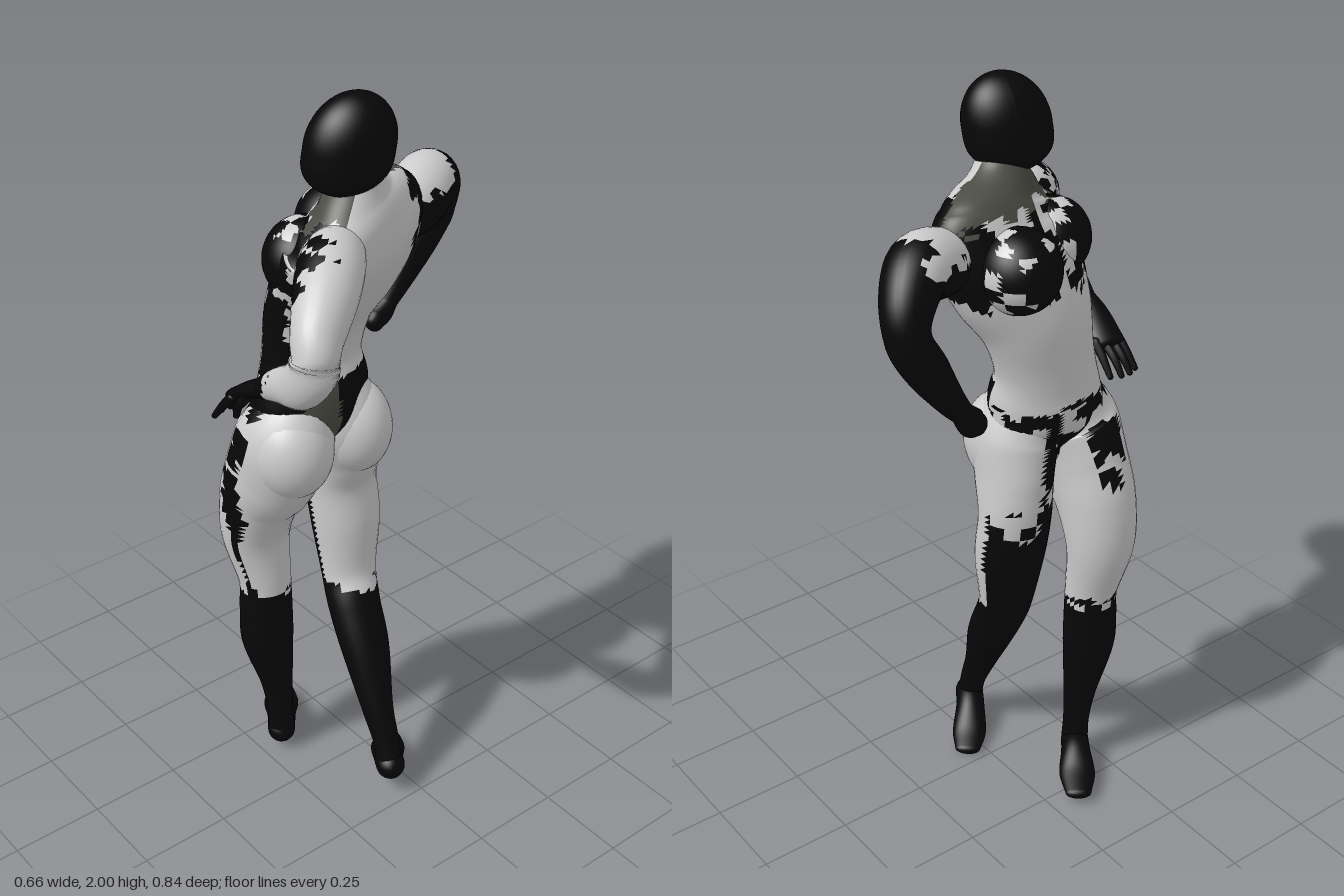
import * as THREE from 'three';

const V = (x, y, z) => new THREE.Vector3(x, y, z);
const COLORS = [0xcccccc, 0x070707, 0x4c4c45];
const GREY = 0, DARK = 1, OLIVE = 2;
const MATERIALS = COLORS.map((color) => new THREE.MeshStandardMaterial({ color }));

// Blocky deterministic noise for the ragged edges of the dark patches
function noise(p, size = 26) {
  const s = Math.sin(Math.floor(p.x * size) * 12.99 + Math.floor(p.y * size) * 78.23 + Math.floor(p.z * size) * 37.72) * 43758.55;
  return s - Math.floor(s);
}
const rag = (p) => (noise(p) - 0.5) * 0.05;

// Sorts the faces by a colour rule into one mesh per colour
function paint(name, geo, rule) {
  geo.computeVertexNormals();
  const group = new THREE.Group();
  group.name = name;
  const pos = geo.attributes.position, nor = geo.attributes.normal, idx = geo.index;
  const lists = COLORS.map(() => []);
  for (let i = 0; i < idx.count; i += 3) {
    const p = V(0, 0, 0), n = V(0, 0, 0), tri = [0, 1, 2].map((k) => idx.getX(i + k));
    for (const v of tri) {
      p.add(V(pos.getX(v), pos.getY(v), pos.getZ(v)));
      n.add(V(nor.getX(v), nor.getY(v), nor.getZ(v)));
    }
    lists[rule(p.divideScalar(3), n.normalize())].push(...tri);
  }
  lists.forEach((list, c) => {
    if (!list.length) return;
    const g = new THREE.BufferGeometry();
    g.setAttribute('position', pos);
    g.setAttribute('normal', nor);
    g.setIndex(list);
    const mesh = new THREE.Mesh(g, MATERIALS[c]);
    mesh.name = name + ['Light', 'Dark', 'Olive'][c];
    group.add(mesh);
  });
  return group;
}

// Smooth closed body through elliptical sections [x, y, z, halfWidth, halfDepth]
function loft(sections, side0, side1 = side0, seg = 28, per = 8) {
  const path = new THREE.CatmullRomCurve3(sections.map((s) => V(s[0], s[1], s[2])), false, 'catmullrom');
  const size = new THREE.CatmullRomCurve3(sections.map((s) => V(s[3], s[4], 0)), false, 'catmullrom');
  const rings = [], N = (sections.length - 1) * per, CAP = 6;
  for (let i = CAP; i > 0; i--) rings.push([0, -i / CAP]);
  for (let i = 0; i <= N; i++) rings.push([i / N, 0]);
  for (let i = 1; i <= CAP; i++) rings.push([1, i / CAP]);
  const pts = [], index = [];
  rings.forEach(([t, cap], i) => {
    const tan = path.getTangent(t), r = size.getPoint(t);
    const u = side0.clone().lerp(side1, t);
    u.addScaledVector(tan, -u.dot(tan)).normalize();
    const v = tan.clone().cross(u);
    const round = Math.max(Math.cos(cap * Math.PI / 2), 0.002);
    const c = path.getPoint(t).addScaledVector(tan, Math.sin(cap * Math.PI / 2) * Math.min(r.x, r.y));
    for (let j = 0; j < seg; j++) {
      const a = (j / seg) * Math.PI * 2;
      const p = c.clone().addScaledVector(u, r.x * round * Math.cos(a)).addScaledVector(v, r.y * round * Math.sin(a));
      pts.push(p.x, p.y, p.z);
      if (i < rings.length - 1) {
        const k = (j + 1) % seg, a0 = i * seg, b0 = a0 + seg;
        index.push(a0 + j, a0 + k, b0 + k, a0 + j, b0 + k, b0 + j);
      }
    }
  });
  const geo = new THREE.BufferGeometry();
  geo.setAttribute('position', new THREE.Float32BufferAttribute(pts, 3));
  geo.setIndex(index);
  return geo;
}

function ellipsoid(center, radii, yaw = 0) {
  return new THREE.SphereGeometry(1, 36, 28).scale(...radii).rotateY(yaw).translate(...center);
}

export function createModel() {
  const model = new THREE.Group();
  const add = (name, geo, rule = () => GREY) => model.add(paint(name, geo, rule));
  const dark = () => DARK;

  // Torso, twisted from the hips to the broad shoulders
  add('torso', loft([
    [-0.08, 1.06, 0.11, 0.14, 0.075], [-0.08, 1.13, 0.115, 0.165, 0.115], [-0.08, 1.21, 0.108, 0.162, 0.117],
    [-0.09, 1.3, 0.1, 0.148, 0.103], [-0.08, 1.42, 0.08, 0.17, 0.114], [-0.04, 1.53, 0.052, 0.218, 0.128],
    [0.0, 1.62, 0.035, 0.24, 0.122], [0.02, 1.69, 0.04, 0.205, 0.1], [0.028, 1.745, 0.05, 0.115, 0.076],
    [0.034, 1.79, 0.056, 0.066, 0.06], [0.035, 1.83, 0.062, 0.056, 0.055],
  ], V(0, 0, 1), V(0.5, 0, 0.85), 56, 9), (p, n) => {
    const front = -0.85 * n.x + 0.5 * n.z;
    if (p.y > 1.7 + rag(p) && front > -0.35) return OLIVE;
    if (p.z < -0.11 + rag(p) && p.y > 1.52) return DARK;
    if (p.y > 1.5 + rag(p) && front > 0.1) return noise(p) < 0.7 ? DARK : GREY;
    if (p.y < 1.55 && p.y > 1.15 && n.z > 0.3 && p.x > -0.11 + rag(p) && p.x < -0.01 + rag(p)) return DARK;
    if (p.y < 1.26 && n.x > 0.3) return p.z > 0.11 && p.z < 0.21 ? OLIVE : DARK;
    if (p.y < 1.2 + rag(p) && n.x < 0.2) return noise(p) < 0.75 ? DARK : GREY;
    return GREY;
  });

  // Chest and seat
  const patchy = (p) => (noise(p) < 0.82 ? DARK : GREY);
  add('rightBreast', ellipsoid([-0.148, 1.585, -0.025], [0.104, 0.106, 0.104], 0.53), patchy);
  add('leftBreast', ellipsoid([-0.035, 1.585, 0.16], [0.1, 0.104, 0.108], 0.53), patchy);
  add('leftButtock', ellipsoid([-0.036, 1.065, 0.212], [0.112, 0.128, 0.108]));
  add('rightButtock', ellipsoid([-0.036, 1.07, 0.015], [0.112, 0.132, 0.1]));

  // Head: smooth hooded egg with a full jaw set forward
  const head = new THREE.SphereGeometry(1, 40, 32), hp = head.attributes.position;
  for (let i = 0; i < hp.count; i++) {
    const y = hp.getY(i), low = Math.max(0, -y);
    const fill = 1 + 0.9 * low * low * (1 - low) - 0.04 * low;
    hp.setXYZ(i, hp.getX(i) * 0.09 * fill, y * 0.125, hp.getZ(i) * 0.112 * fill - y * 0.014);
  }
  add('head', head.rotateY(-0.25).rotateZ(-0.08).translate(0.042, 1.875, 0.08), dark);

  // Legs from the hips: light thighs, dark from the knee down
  const across = V(0, 0, 1);
  add('leftLeg', loft([
    [-0.08, 1.19, 0.17, 0.085, 0.1], [-0.072, 1.09, 0.2, 0.122, 0.132], [-0.112, 0.98, 0.215, 0.114, 0.132],
    [-0.162, 0.88, 0.222, 0.106, 0.112], [-0.19, 0.75, 0.222, 0.096, 0.088], [-0.172, 0.6, 0.212, 0.073, 0.07],
    [-0.168, 0.5, 0.214, 0.075, 0.068], [-0.165, 0.4, 0.214, 0.075, 0.064], [-0.157, 0.25, 0.196, 0.048, 0.045],
    [-0.152, 0.15, 0.19, 0.037, 0.037], [-0.15, 0.08, 0.188, 0.037, 0.038],
  ], across), (p, n) => {
    if (p.y < 0.58 + rag(p)) return DARK;
    if (p.y > 0.97 + rag(p) && n.x < 0 && n.z > -0.4) return noise(p) < 0.6 ? DARK : GREY;
    const stripe = -0.11 - (p.y - 0.6) * 0.14;
    return n.z > 0 && Math.abs(n.x) < 0.5 && Math.abs(p.x - stripe) < 0.038 + rag(p) * 0.4 ? DARK : GREY;
  });
  add('rightLeg', loft([
    [-0.08, 1.19, 0.05, 0.085, 0.1], [-0.065, 1.09, 0.03, 0.11, 0.12], [-0.085, 0.98, 0.012, 0.1, 0.108],
    [-0.1, 0.88, 0.004, 0.1, 0.09], [-0.085, 0.75, 0.0, 0.098, 0.086], [-0.06, 0.6, 0.01, 0.08, 0.066],
    [-0.015, 0.51, 0.026, 0.074, 0.066], [0.045, 0.4, 0.036, 0.068, 0.062], [0.12, 0.25, 0.055, 0.044, 0.045],
    [0.158, 0.16, 0.056, 0.036, 0.037], [0.178, 0.1, 0.06, 0.035, 0.036],
  ], across), (p, n) => {
    if (p.y < 0.58 + rag(p)) return DARK;
    if (n.x < -0.15 && p.y < 0.88 + rag(p) * 2) return DARK;
    return n.x < -0.5 && n.z > 0.1 && noise(p) < 0.7 ? DARK : GREY;
  });

  // Feet, from heel to toes
  const footSide = V(0.6, 0, -0.8);
  add('leftFoot', loft([
    [-0.148, 0.06, 0.19, 0.039, 0.04], [-0.195, 0.066, 0.155, 0.041, 0.043], [-0.255, 0.045, 0.112, 0.05, 0.028],
    [-0.312, 0.035, 0.07, 0.036, 0.016],
  ], footSide), dark);
  add('rightFoot', loft([
    [0.188, 0.085, 0.062, 0.04, 0.041], [0.145, 0.07, 0.034, 0.041, 0.044], [0.085, 0.034, -0.014, 0.048, 0.028],
    [0.04, 0.019, -0.053, 0.036, 0.016],
  ], footSide), dark);

  // Arms, both bent with the hands by the hips; the roots taper into the torso
  const up = V(0, 1, 0.01);
  add('leftArm', loft([
    [0.02, 1.61, 0.08, 0.05, 0.05], [0.115, 1.635, 0.19, 0.084, 0.078], [0.185, 1.605, 0.265, 0.084, 0.077],
    [0.248, 1.545, 0.34, 0.072, 0.062], [0.268, 1.485, 0.364, 0.06, 0.052], [0.222, 1.425, 0.37, 0.058, 0.045],
    [0.13, 1.38, 0.36, 0.043, 0.035], [0.05, 1.335, 0.35, 0.028, 0.026],
  ], up), (p, n) => {
    if (p.x < 0.1 + rag(p) && p.y < 1.45) return DARK;
    return p.y > 1.52 && p.x < 0.21 && n.z > 0 && noise(p) < 0.45 ? DARK : GREY;
  });
  add('rightArm', loft([
    [0.0, 1.6, -0.07, 0.05, 0.05], [-0.055, 1.62, -0.19, 0.083, 0.08], [-0.098, 1.64, -0.28, 0.084, 0.08],
    [-0.145, 1.585, -0.345, 0.068, 0.066], [-0.17, 1.51, -0.36, 0.056, 0.053], [-0.182, 1.43, -0.32, 0.054, 0.047],
    [-0.188, 1.34, -0.265, 0.039, 0.037], [-0.188, 1.28, -0.22, 0.028, 0.028],
  ], up), (p, n) => (p.z > -0.29 + rag(p) && p.y > 1.645 + rag(p) && n.y > 0 ? GREY : DARK));

  // Left hand hanging in front of the hip, right hand closed
  const spread = V(0, 0.2, 1);
  add('leftHand', loft([
    [0.06, 1.34, 0.35, 0.026, 0.026], [0.0, 1.308, 0.342, 0.038, 0.022], [-0.07, 1.262, 0.33, 0.044, 0.018],
  ], spread, spread, 20, 6), dark);
  for (let k = 0; k < 4; k++) {
    const z = 0.295 + k * 0.024, bend = 0.012 * Math.abs(k - 1.5);
    add('leftFinger', loft([
      [-0.06, 1.265, z, 0.013, 0.013], [-0.11 + bend, 1.23, z + 0.002 * k, 0.011, 0.011],
      [-0.14 + bend, 1.19, z + 0.004 * k, 0.008, 0.008],
    ], spread, spread, 10, 5), dark);
  }
  add('leftThumb', loft([
    [0.0, 1.3, 0.35, 0.015, 0.015], [-0.035, 1.255, 0.365, 0.012, 0.012], [-0.055, 1.215, 0.36, 0.009, 0.009],
  ], spread, spread, 10, 5), dark);
  add('rightHand', loft([
    [-0.188, 1.285, -0.224, 0.03, 0.03], [-0.19, 1.255, -0.2, 0.038, 0.03], [-0.185, 1.24, -0.18, 0.03, 0.025],
  ], up, up, 20, 6), dark);

  return model;
}
